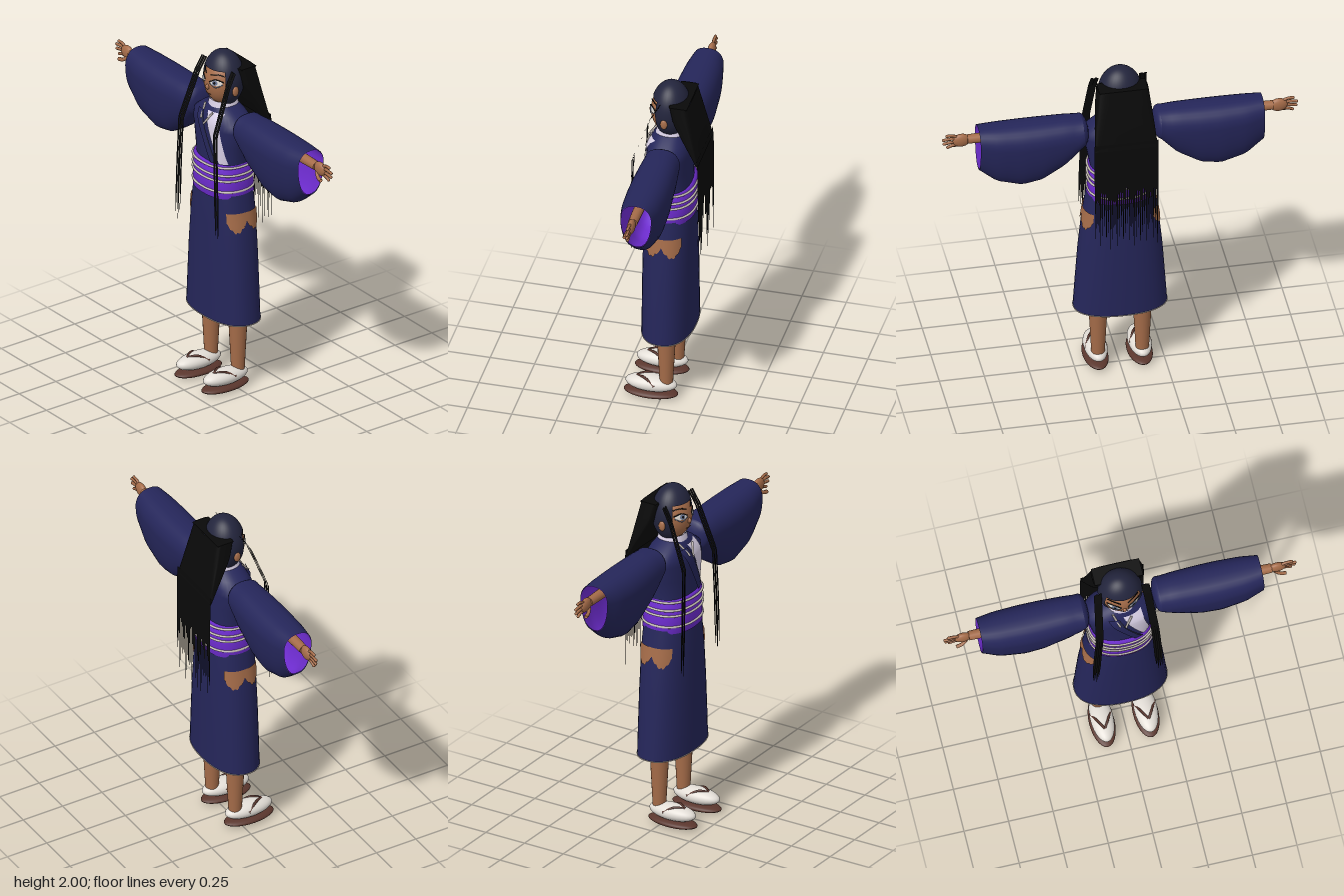
import * as THREE from 'three';
import { mergeVertices } from 'three/addons/utils/BufferGeometryUtils.js';

const mat = (name, color) => {
  const m = new THREE.MeshStandardMaterial({ color, side: THREE.DoubleSide });
  m.name = name;
  return m;
};
const CZ = -0.018; // depth of the body axis

// Smooth surface through f(u, v) -> [x, y, z]
function grid(nu, nv, f) {
  const pos = [], idx = [];
  for (let i = 0; i <= nu; i++) for (let j = 0; j <= nv; j++) pos.push(...f(i / nu, j / nv));
  for (let i = 0; i < nu; i++) for (let j = 0; j < nv; j++) {
    const a = i * (nv + 1) + j, b = a + nv + 1;
    idx.push(a, a + 1, b, b, a + 1, b + 1);
  }
  let g = new THREE.BufferGeometry();
  g.setAttribute('position', new THREE.Float32BufferAttribute(pos, 3));
  g.setIndex(idx);
  g = mergeVertices(g, 1e-5);
  g.computeVertexNormals();
  return g;
}
// Piecewise-linear lookup in rows sorted by their first value
function sample(rows, t) {
  let i = 0;
  while (i < rows.length - 2 && t > rows[i + 1][0]) i++;
  const a = rows[i], b = rows[i + 1];
  const k = THREE.MathUtils.clamp((t - a[0]) / (b[0] - a[0]), 0, 1);
  return a.map((v, n) => v + (b[n] - v) * k);
}
const spow = (v, p) => Math.sign(v) * Math.abs(v) ** p;
const ringPoint = (y, rx, rz, a, n = 2.3) =>
  [rx * spow(Math.cos(a), 2 / n), y, CZ + rz * spow(Math.sin(a), 2 / n)];
// Upright body section made of [y, rx, rz] rows
const loft = (rows, sides = 40) => grid(rows.length - 1, sides, (u, v) => {
  const [y, rx, rz] = rows[Math.round(u * (rows.length - 1))];
  return ringPoint(y, rx, rz, v * Math.PI * 2);
});
const tube = (pts, r, closed = false) => new THREE.TubeGeometry(
  new THREE.CatmullRomCurve3(pts.map(p => new THREE.Vector3(...p)), closed), closed ? 64 : 14, r, 6, closed);

const SKIRT = [[0.42, 0.26, 0.145], [0.6, 0.248, 0.145], [0.8, 0.234, 0.144], [1.0, 0.214, 0.142], [1.1, 0.2, 0.14], [1.19, 0.187, 0.135]];
const TORSO = [[1.17, 0.17, 0.125], [1.37, 0.168, 0.122], [1.48, 0.188, 0.122], [1.57, 0.207, 0.122], [1.61, 0.2, 0.118], [1.65, 0.15, 0.1], [1.69, 0.07, 0.072]];
// Sleeve rows: distance out, top, bottom, half depth
const SLEEVE = [[0.215, 1.695, 1.52, 0.1], [0.31, 1.7, 1.41, 0.108], [0.44, 1.7, 1.325, 0.115], [0.55, 1.7, 1.303, 0.116], [0.69, 1.7, 1.345, 0.108], [0.79, 1.7, 1.43, 0.088]];

export function createModel() {
  const root = new THREE.Group();
  const navy = mat('navy cloth', 0x25265a), purple = mat('purple silk', 0x6f2dd2), skin = mat('skin', 0xa56c49),
    black = mat('black hair', 0x090909), cap = mat('dark blue hair', 0x23253d), white = mat('white fabric', 0xe2ddd6),
    lilac = mat('pale lilac', 0xd9d0e6), sole = mat('brown sole', 0x5a362d), cord = mat('beige cord', 0xc2b9b4), iris = mat('grey blue', 0x6c7896);
  const add = (name, geo, m, p = [0, 0, 0], s = [1, 1, 1]) => {
    const o = new THREE.Mesh(geo, m);
    o.name = name;
    o.position.set(...p);
    o.scale.set(...s);
    root.add(o);
    return o;
  };
  const ball = new THREE.SphereGeometry(1, 28, 20);

  // Robe, sash and cords
  add('skirt', loft(SKIRT), navy);
  add('torso', loft(TORSO), navy);
  add('sash', loft([[1.17, 0.16, 0.12], [1.172, 0.185, 0.144], [1.27, 0.176, 0.146], [1.368, 0.176, 0.144], [1.37, 0.15, 0.12]]), purple);
  const hoop = (y, rx, rz) => Array.from({ length: 40 }, (_, i) => ringPoint(y, rx, rz, i / 40 * Math.PI * 2));
  for (const y of [1.213, 1.278, 1.312, 1.36]) add('sashCord', tube(hoop(y, 0.181, 0.147), 0.007, true), cord);
  add('hemLine', tube(hoop(0.423, 0.26, 0.145), 0.003, true), cord);

  // Lapels lying on the chest, between two edges running downward
  const onChest = (x, y, off) => {
    const [, rx, rz] = sample(TORSO, y);
    return [x, y, CZ + off + rz * Math.max(0, 1 - Math.abs(x / rx) ** 2.3) ** (1 / 2.3)];
  };
  const lapel = (name, m, l0, l1, r0, r1, off) => add(name, grid(16, 8, (u, v) => {
    const x = THREE.MathUtils.lerp(l0[0] + (l1[0] - l0[0]) * u, r0[0] + (r1[0] - r0[0]) * u, v);
    const y = THREE.MathUtils.lerp(l0[1] + (l1[1] - l0[1]) * u, r0[1] + (r1[1] - r0[1]) * u, v);
    return onChest(x, y, off);
  }), m);
  lapel('leftLapel', lilac, [-0.005, 1.66], [0.105, 1.375], [0.1, 1.665], [0.148, 1.375], 0.006);
  lapel('rightLapel', navy, [-0.09, 1.65], [0.055, 1.375], [-0.03, 1.655], [0.1, 1.375], 0.013);
  lapel('lapelTrim', cap, [-0.035, 1.65], [0.093, 1.375], [-0.027, 1.655], [0.103, 1.375], 0.017);
  add('collarCord', tube([onChest(-0.06, 1.68, 0.015), onChest(-0.03, 1.61, 0.015)], 0.006), cord);
  add('collarCord', tube([onChest(0.04, 1.66, 0.012), onChest(0, 1.59, 0.015)], 0.006), cord);
  add('collar', loft([[1.63, 0.095, 0.09], [1.68, 0.08, 0.08], [1.715, 0.07, 0.073]]), lilac);
  add('neck', new THREE.CylinderGeometry(0.05, 0.055, 0.14, 20), skin, [0, 1.7, CZ]);

  // Head and hair cap, open around the face
  add('head', ball, skin, [0, 1.823, -0.01], [0.108, 0.135, 0.1]);
  add('hairCrown', new THREE.SphereGeometry(1, 32, 12, 0, Math.PI * 2, 0, 1.08), cap, [0, 1.835, -0.02], [0.124, 0.165, 0.11]);
  add('hairBack', new THREE.SphereGeometry(1, 32, 16, -0.62, Math.PI + 1.24 - 0.0, 1.0, 1.55).rotateY(Math.PI), cap, [0, 1.835, -0.02], [0.124, 0.165, 0.11]);

  // Face plates bent onto the head
  const onFace = (x, y, off) => [x, y, -0.01 + off + 0.1 * Math.sqrt(Math.max(0, 1 - (x / 0.108) ** 2 - ((y - 1.823) / 0.135) ** 2))];
  const disc = (name, m, cx, cy, rx, ry, off) => add(name, grid(4, 20, (u, v) =>
    onFace(cx + rx * u * Math.cos(v * Math.PI * 2), cy + ry * u * Math.sin(v * Math.PI * 2), off)), m);
  const stroke = (name, m, pts, r) => add(name, tube(pts.map(([x, y]) => onFace(x, y, 0.005)), r), m);
  stroke('mouth', sole, [[-0.022, 1.766], [0, 1.762], [0.022, 1.766]], 0.002);
  add('nose', ball, skin, [0, 1.806, 0.09], [0.011, 0.016, 0.012]);

  for (const s of [-1, 1]) {
    disc('eyeWhite', white, s * 0.055, 1.845, 0.032, 0.017, 0.004);
    disc('iris', iris, s * 0.053, 1.845, 0.014, 0.015, 0.006);
    disc('pupil', black, s * 0.053, 1.845, 0.006, 0.008, 0.008);
    stroke('upperLash', black, [[s * 0.02, 1.846], [s * 0.055, 1.864], [s * 0.09, 1.852]], 0.003);
    stroke('lowerRim', iris, [[s * 0.02, 1.838], [s * 0.055, 1.818], [s * 0.088, 1.838]], 0.0025);
    stroke('eyebrow', black, [[s * 0.02, 1.882], [s * 0.055, 1.892], [s * 0.085, 1.884]], 0.003);
    add('ear', ball, skin, [s * 0.122, 1.795, -0.01], [0.012, 0.03, 0.02]);

    // Wide hanging sleeve with a purple lining, closed at the shoulder
    const sleevePoint = (u, v, k) => {
      const [x, top, bottom, d] = sample(SLEEVE, 0.215 + 0.575 * u);
      const a = v * Math.PI * 2, up = Math.cos(a);
      const mid = Math.max(top - d, (top + bottom) / 2);
      const y = mid + (up > 0 ? top - mid : mid - bottom) * up * k;
      return [s * x, y, -0.025 + d * k * spow(Math.sin(a), 0.8)];
    };
    add('sleeve', grid(20, 32, (u, v) => sleevePoint(u, v, 1)), navy);
    add('sleeveLining', grid(20, 32, (u, v) => sleevePoint(u, v, 0.965)), purple);
    add('sleeveShoulder', grid(4, 32, (u, v) => {
      const p = sleevePoint(0, v, Math.sin(u * Math.PI / 2));
      p[0] -= s * 0.035 * Math.cos(u * Math.PI / 2);
      return p;
    }), navy);

    // Arm, palm and fingers
    add('arm', new THREE.CylinderGeometry(0.026, 0.04, 0.64, 16).rotateZ(-s * Math.PI / 2), skin, [s * 0.53, 1.63, -0.022]);
    add('palm', ball, skin, [s * 0.882, 1.627, -0.022], [0.05, 0.04, 0.022]);
    for (let i = 0; i < 4; i++) {
      const y0 = 1.651 - i * 0.017, reach = [0.962, 0.982, 0.978, 0.958][i];
      add('finger', tube([[s * 0.9, y0, -0.022], [s * 0.935, y0 + 0.012 - i * 0.005, -0.022], [s * reach, y0 + 0.012 - i * 0.008, -0.022]], 0.0085), skin);
      add('fingertip', ball, skin, [s * reach, y0 + 0.012 - i * 0.008, -0.022], [0.0085, 0.0085, 0.0085]);
    }
    add('thumb', tube([[s * 0.865, 1.605, -0.01], [s * 0.893, 1.585, 0.002], [s * 0.925, 1.578, 0.006]], 0.011), skin);

    // Bare hip showing through a ragged side slit
    add('hipPatch', grid(6, 40, (u, v) => {
      const w = (v - 0.5) * 2;
      const drop = 0.05 + 0.055 * Math.abs(Math.sin(w * Math.PI)) + 0.014 * Math.abs(Math.sin(w * 13));
      const y = 1.09 - drop * u, [, rx, rz] = sample(SKIRT, y);
      const p = ringPoint(y, rx + 0.006, rz + 0.006, w * 0.72);
      return [s * p[0], p[1], p[2]];
    }), skin);

    // Leg, sock and sandal
    add('leg', new THREE.CylinderGeometry(0.068, 0.037, 0.6, 20), skin, [s * 0.123, 0.4, -0.025]);
    add('sock', ball, white, [s * 0.123, 0.082, 0.06], [0.064, 0.046, 0.145]);
    add('sandalSole', ball, sole, [s * 0.123, 0.024, 0.062], [0.07, 0.024, 0.153]);
    for (const t of [-1, 1]) add('sandalStrap', tube([[s * 0.123, 0.117, 0.14], [s * 0.123 + t * 0.03, 0.124, 0.09], [s * 0.123 + t * 0.058, 0.09, 0.03]], 0.007), sole);

    // Long front locks of flat ribbons
    for (let i = 0; i < 4; i++) {
      const path = [[0, 0.118, 0.01], [0.08, 0.124, 0.055], [0.34, 0.14, 0.152], [0.6, 0.152, 0.156], [0.98, 0.165, 0.158]];
      const len = 0.91 + 0.06 * ((i * 3) % 4) / 3;
      add('frontLock', grid(24, 1, (u, v) => {
        const [d, x, z] = sample(path, len * u);
        const w = 0.013 * Math.min(1, (1 - u) * 5 + 0.15);
        return [s * (x + i * 0.0105 + (v - 0.5) * w), 1.92 - d, z + (i % 2) * 0.004];
      }), black);
    }
  }

  // Back hair: thick upper fall closing into one sheet
  const fall = [[0, 0.14, -0.035, -0.145], [0.1, 0.152, -0.06, -0.168], [0.22, 0.165, -0.13, -0.192], [0.34, 0.175, -0.203, -0.215]];
  add('backHair', grid(12, 28, (u, v) => {
    const [d, hw, z0, z1] = sample(fall, 0.34 * u);
    const a = v * Math.PI * 2;
    return [hw * spow(Math.cos(a), 0.35), 1.92 - d, (z0 + z1) / 2 + (z1 - z0) / 2 * spow(Math.sin(a), 0.35)];
  }), black);
  add('backHairTop', new THREE.BoxGeometry(0.27, 0.004, 0.1), black, [0, 1.918, -0.092]);

  // Separate strands below, thinning to uneven points
  const N = 30;
  for (let i = 0; i < N; i++) {
    const x = -0.171 + 0.342 * i / (N - 1), end = 0.92 + 0.16 * ((i * 7) % 11) / 10;
    add('hairStrand', grid(8, 1, (u, v) => {
      const w = 0.0135 * Math.min(1, 1.5 * (1 - u) + 0.12);
      return [x + (v - 0.5) * w, 1.62 + (end - 1.62) * u, -0.21 - 0.006 * Math.min(1, u * 6)];
    }), black);
  }
  return root;
}
